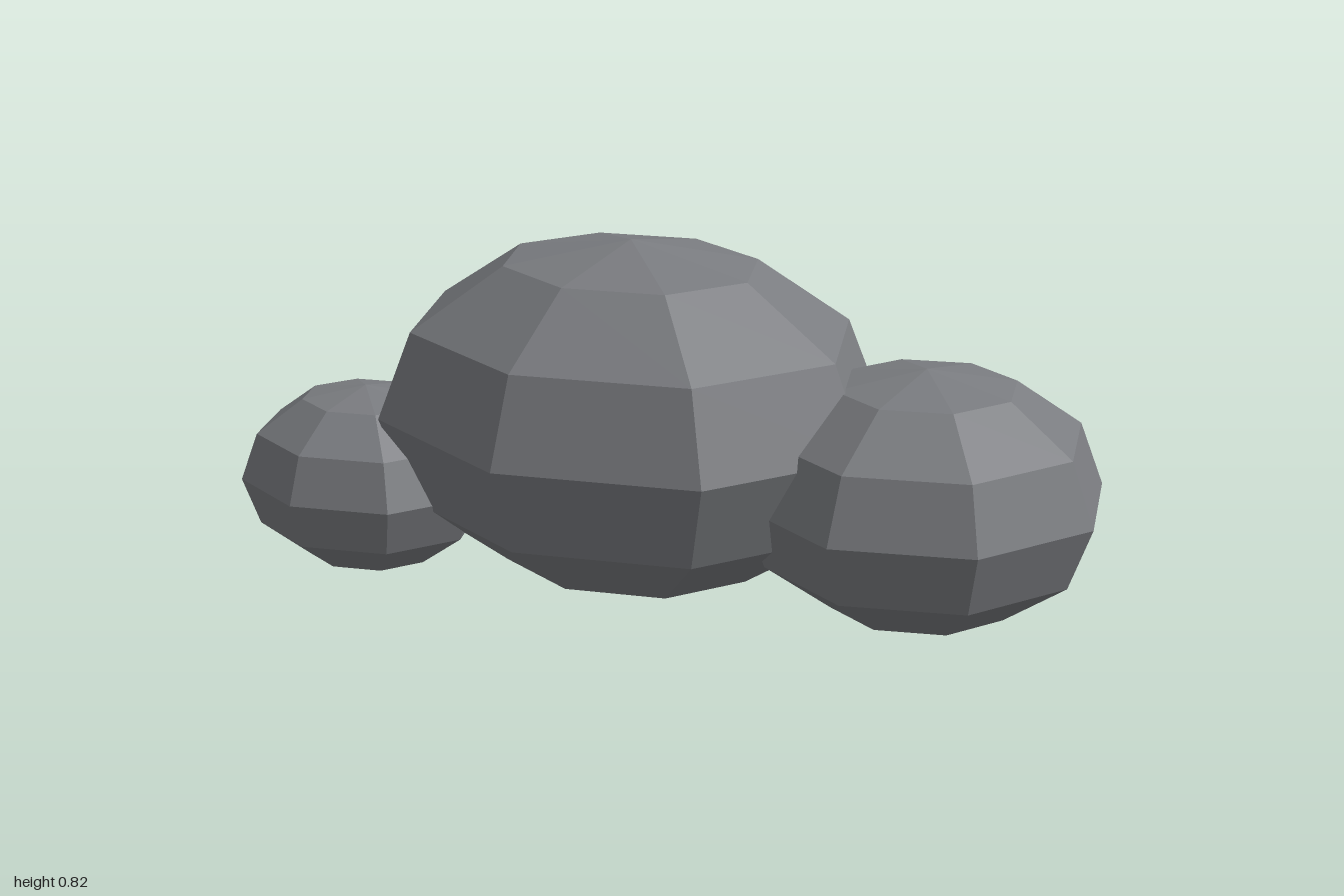
import * as THREE from 'three';

export function createModel() {
  const group = new THREE.Group();
  const stone = new THREE.MeshStandardMaterial({ color: 0x7a7c80, flatShading: true });
  stone.name = 'grey stone';

  // Squashed low-poly boulder resting on the ground
  const boulder = (name, x, z, rx, ry, rz) => {
    const geometry = new THREE.SphereGeometry(1, 8, 6);
    geometry.scale(rx, ry, rz);
    const mesh = new THREE.Mesh(geometry, stone);
    mesh.name = name;
    mesh.position.set(x, ry, z);
    group.add(mesh);
  };

  boulder('largeBoulder', -0.108, 0.014, 0.63, 0.41, 0.536);
  boulder('mediumBoulder', 0.58, -0.142, 0.42, 0.295, 0.42);
  boulder('smallBoulder', -0.685, 0.28, 0.315, 0.221, 0.28);

  return group;
}
